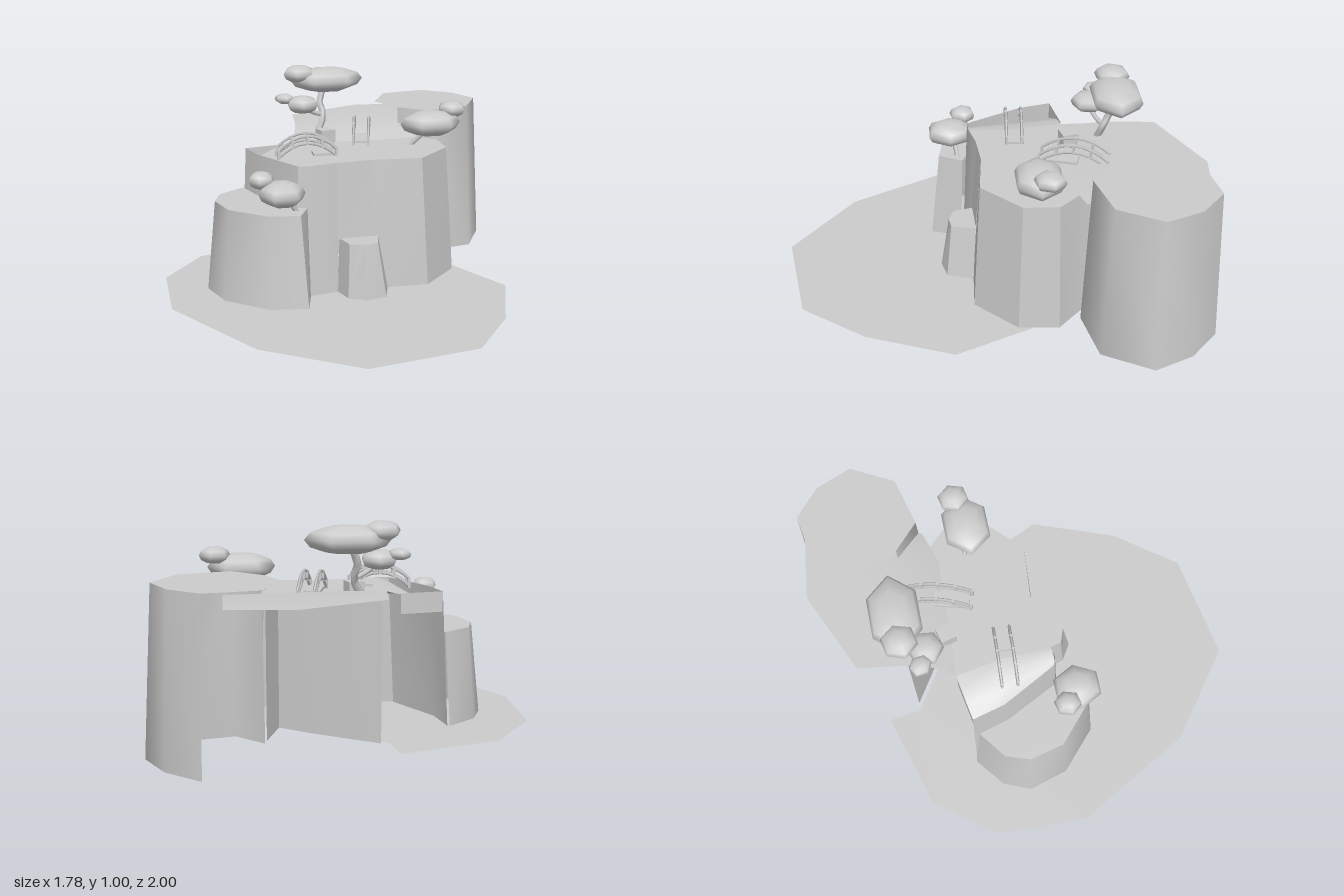
import * as THREE from 'three';
import { toCreasedNormals } from 'three/addons/utils/BufferGeometryUtils.js';

const mat = new THREE.MeshStandardMaterial({ color: 0xcccccc, side: THREE.DoubleSide });

export function createModel() {
  const model = new THREE.Group();

  function add(name, geometry, parent = model) {
    const mesh = new THREE.Mesh(geometry, mat);
    mesh.name = name;
    parent.add(mesh);
    return mesh;
  }

  // Surface through rows of [x, y, z] points, each row equally long
  function loft(rows, crease) {
    const n = rows[0].length, index = [];
    for (let r = 0; r < rows.length - 1; r++) {
      for (let i = 0; i < n - 1; i++) {
        const a = r * n + i, b = a + 1, c = a + n, d = c + 1;
        index.push(a, b, d, a, d, c);
      }
    }
    const g = new THREE.BufferGeometry();
    g.setAttribute('position', new THREE.Float32BufferAttribute(rows.flat(2), 3));
    g.setIndex(index);
    return toCreasedNormals(g, crease);
  }

  const level = (points, y) => points.map(([x, z]) => [x, y, z]);
  const wall = (low, high, y0, y1, crease = 0.6) => loft([level(low, y0), level(high, y1)], crease);

  // Flat polygon facing up
  function flat(points, y) {
    const shape = new THREE.Shape(points.map(([x, z]) => new THREE.Vector2(x, -z)));
    return new THREE.ShapeGeometry(shape).rotateX(-Math.PI / 2).translate(0, y, 0);
  }

  // Ground
  add('ground', flat([[-0.2, -0.74], [-0.67, -0.6], [-0.88, -0.31], [-0.895, 0.13], [-0.59, 0.69], [-0.18, 1],
    [0.345, 0.91], [0.57, 0.61], [0.725, 0.2], [0.56, -0.16], [0.29, -0.26], [0.15, -0.37], [-0.18, -0.58]], 0));

  // Main rock: front wall, with an opening hidden behind the small rock
  add('mainRockLeftWall', wall(
    [[-0.49, -0.345], [-0.46, -0.17], [-0.31, 0.1], [-0.24, 0.12], [-0.09, 0.09]],
    [[-0.46, -0.335], [-0.42, -0.18], [-0.28, 0.085], [-0.24, 0.095], [-0.09, 0.06]], 0, 0.635));
  add('mainRockLintel', wall([[-0.09, 0.082], [0.08, 0.072]], [[-0.09, 0.06], [0.08, 0.045]], 0.26, 0.635));
  add('mainRockRightWall', wall(
    [[0.08, 0.085], [0.36, 0.095], [0.55, -0.1], [0.56, -0.29], [0.43, -0.41], [0.38, -0.5]],
    [[0.08, 0.045], [0.33, 0.065], [0.51, -0.115], [0.515, -0.28], [0.42, -0.38], [0.37, -0.5]], 0, 0.635));

  // Main rock: recessed back wall and rim panel
  const back = [[-0.14, -0.58], [0.15, -0.39], [0.29, -0.28], [0.36, -0.48]];
  add('mainRockBackWall', wall(back, back, 0, 0.635));
  const rim = [[-0.46, -0.335], [-0.26, -0.37]];
  add('rimPanel', wall(rim, rim, 0.54, 0.635));

  // Main rock: level top and the smooth dip on its right-hand edge
  add('mainRockTop', flat([[-0.24, -0.37], [-0.2, -0.14], [-0.2, 0.087], [-0.09, 0.06], [0.08, 0.045],
    [0.33, 0.065], [0.51, -0.115], [0.515, -0.28], [0.42, -0.38], [0.35, -0.35], [0, -0.36]], 0.635));
  add('mainRockDip', loft([
    [[-0.46, 0.55, -0.335], [-0.42, 0.55, -0.18], [-0.28, 0.6, 0.085]],
    [[-0.37, 0.595, -0.35], [-0.33, 0.6, -0.16], [-0.26, 0.625, 0.09]],
    [[-0.3, 0.625, -0.36], [-0.26, 0.63, -0.15], [-0.23, 0.632, 0.09]],
    [[-0.24, 0.635, -0.37], [-0.2, 0.635, -0.14], [-0.2, 0.635, 0.087]]], 1.2));

  // Raised rear plateau
  add('rearPlateau', loft([
    [[-0.24, 0.635, -0.37], [0, 0.635, -0.36], [0.35, 0.635, -0.35], [0.5, 0.635, -0.4]],
    [[-0.19, 0.66, -0.46], [0, 0.665, -0.46], [0.34, 0.665, -0.46], [0.52, 0.665, -0.5]],
    [[-0.16, 0.685, -0.58], [0.05, 0.69, -0.58], [0.34, 0.69, -0.6], [0.55, 0.69, -0.62]],
    [[-0.13, 0.69, -0.81], [0.26, 0.69, -0.985], [0.44, 0.69, -0.965], [0.56, 0.69, -0.95]]], 1.2));

  // Tall pillar, open at the back
  add('pillarWall', wall(
    [[0.655, -1], [0.805, -0.865], [0.89, -0.68], [0.765, -0.45], [0.495, -0.395], [0.37, -0.52]],
    [[0.645, -0.965], [0.78, -0.85], [0.85, -0.68], [0.74, -0.48], [0.505, -0.42], [0.38, -0.535]], 0, 0.76, 1));
  add('pillarTop', flat([[0.41, -0.925], [0.645, -0.965], [0.78, -0.85], [0.85, -0.68], [0.74, -0.48],
    [0.505, -0.42], [0.37, -0.545], [0.3, -0.71]], 0.76));

  // Side rock
  const sideTop = [[-0.48, -0.315], [-0.61, -0.22], [-0.65, -0.105], [-0.61, 0.06], [-0.445, 0.21],
    [-0.3, 0.235], [-0.245, 0.12]];
  add('sideRockWall', wall([[-0.5, -0.35], [-0.64, -0.24], [-0.695, -0.11], [-0.64, 0.08], [-0.455, 0.25],
    [-0.275, 0.28], [-0.235, 0.13]], sideTop, 0, 0.44, 1));
  add('sideRockTop', flat([...sideTop, [-0.31, 0.09], [-0.44, -0.17]], 0.44));

  // Small front rock
  const smallTop = [[-0.08, 0.075], [-0.055, 0.175], [0.015, 0.2], [0.08, 0.19], [0.11, 0.075]];
  add('smallRockWall', wall([[-0.095, 0.08], [-0.065, 0.19], [0.015, 0.24], [0.115, 0.215], [0.16, 0.08]],
    smallTop, 0, 0.265));
  add('smallRockTop', flat(smallTop, 0.265));

  // Small stone block beside the bridges
  const block = add('stoneBlock', new THREE.BoxGeometry(0.075, 0.07, 0.075));
  block.position.set(-0.045, 0.665, -0.38);
  block.rotation.y = 0.25;

  // Trees: trunk paths and squashed leaf clumps given as [centre, radii]
  function tree(name, trunks, clumps) {
    const group = new THREE.Group();
    group.name = name;
    for (const [radius, ...points] of trunks) {
      const path = new THREE.CatmullRomCurve3(points.map((p) => new THREE.Vector3(...p)));
      add('trunk', new THREE.TubeGeometry(path, 5, radius, 5), group);
    }
    clumps.forEach(([centre, radii], i) => {
      const clump = add('leafClump', new THREE.SphereGeometry(1, 6, 6), group);
      clump.scale.set(...radii);
      clump.position.set(...centre);
      clump.rotation.y = 0.2 * i;
    });
    model.add(group);
  }
  tree('rearTree', [
    [0.018, [-0.05, 0.67, -0.52], [-0.02, 0.74, -0.54], [-0.035, 0.8, -0.57], [0, 0.89, -0.6]],
    [0.011, [-0.03, 0.74, -0.54], [-0.08, 0.76, -0.51], [-0.14, 0.8, -0.48]]],
  [[[0.01, 0.915, -0.59], [0.19, 0.064, 0.13]], [[-0.135, 0.95, -0.59], [0.085, 0.045, 0.085]],
    [[-0.14, 0.81, -0.485], [0.085, 0.045, 0.085]], [[-0.225, 0.837, -0.52], [0.05, 0.026, 0.055]]]);
  tree('leftTree', [
    [0.013, [0.35, 0.63, -0.22], [0.39, 0.67, -0.21], [0.44, 0.72, -0.19]]],
  [[[0.45, 0.745, -0.19], [0.155, 0.064, 0.12]], [[0.572, 0.805, -0.225], [0.072, 0.04, 0.075]]]);
  tree('rightTree', [
    [0.013, [-0.3, 0.43, 0.14], [-0.33, 0.48, 0.15], [-0.37, 0.53, 0.16]]],
  [[[-0.375, 0.533, 0.175], [0.11, 0.06, 0.12]], [[-0.46, 0.587, 0.11], [0.062, 0.042, 0.066]]]);

  // Bridges: flat deck slab from d0 to d1, two arched rails on each side and posts
  function bridge(name, length, d0, d1, x, y, z, turn) {
    const group = new THREE.Group();
    group.name = name;
    const rise = 0.065, n = 8, half = 0.037;
    const arc = Array.from({ length: n + 1 }, (_, i) => {
      const t = (i / n) * 2 - 1;
      return [t * length / 2, rise * (1 - t * t)];
    });
    add('deck', new THREE.BoxGeometry(d1 - d0, 0.012, 2 * half), group).position.set((d0 + d1) / 2, 0.006, 0);
    for (const side of [-half, half]) {
      for (const lift of [0, 0.035]) {
        const path = new THREE.CatmullRomCurve3(arc.map(([a, b]) => new THREE.Vector3(a, b + lift, side)));
        add('rail', new THREE.TubeGeometry(path, n, 0.007, 4), group);
      }
      for (let i = 0; i <= n; i += 2) {
        const post = add('post', new THREE.BoxGeometry(0.012, 0.05, 0.012), group);
        post.position.set(arc[i][0], arc[i][1] + 0.016, side);
      }
    }
    group.position.set(x, y, z);
    group.rotation.y = turn;
    model.add(group);
  }
  bridge('frontBridge', 0.28, 0.03, 0.14, -0.195, 0.635, -0.13, -0.05);
  bridge('rearBridge', 0.32, -0.15, 0.02, 0.145, 0.65, -0.385, 1.3);

  return model;
}
